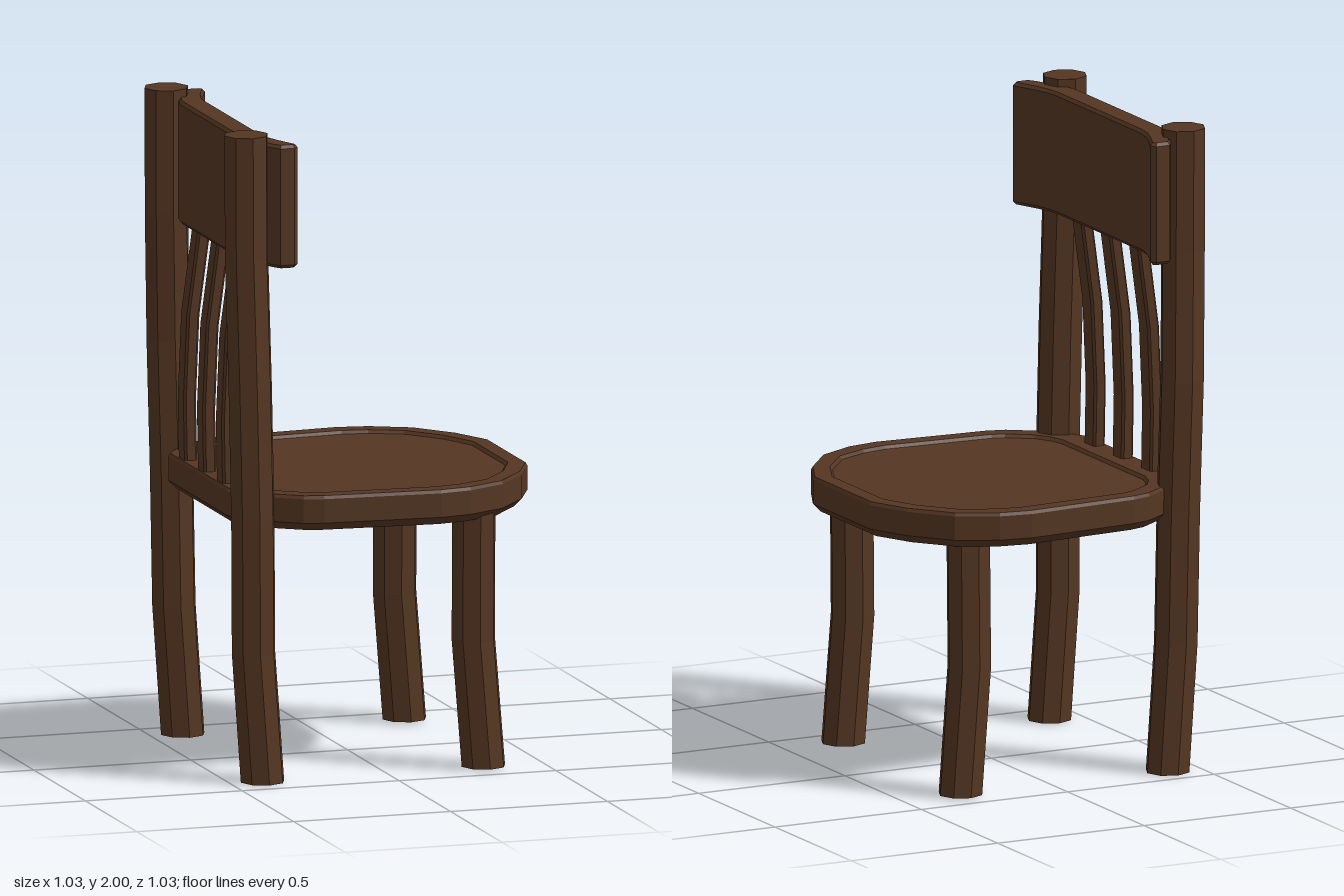
import * as THREE from 'three';

const wood = new THREE.MeshStandardMaterial({ color: 0x543622 });
wood.name = 'darkWood';

// Complete a half outline (z > 0, front to back) with its mirror image
const mirrored = (half) => [...half, ...half.map(([x, z]) => [x, -z]).reverse()];

// Move every corner of a closed outline inward by d
function inset(pts, d) {
  const n = pts.length;
  const normal = (a, b) => new THREE.Vector2(b[1] - a[1], a[0] - b[0]).normalize();
  return pts.map((p, i) => {
    const n1 = normal(pts[(i + n - 1) % n], p), n2 = normal(p, pts[(i + 1) % n]);
    const m = n1.clone().add(n2).normalize();
    const k = d / Math.max(0.5, m.dot(n1));
    return [p[0] - m.x * k, p[1] - m.y * k];
  });
}

// Solid from horizontal rings [outline, y], listed bottom to top
function loft(name, rings) {
  const pos = [];
  const put = ([pts, y], i) => pos.push(pts[i % pts.length][0], y, pts[i % pts.length][1]);
  const n = rings[0][0].length;
  for (let k = 0; k < rings.length - 1; k++) {
    const lo = rings[k], hi = rings[k + 1];
    for (let i = 0; i < n; i++) {
      put(lo, i); put(hi, i); put(lo, i + 1);
      put(lo, i + 1); put(hi, i); put(hi, i + 1);
    }
  }
  const cap = (ring, up) => {
    const contour = ring[0].map(([x, z]) => new THREE.Vector2(x, z));
    for (const [a, b, c] of THREE.ShapeUtils.triangulateShape(contour, [])) {
      put(ring, a); put(ring, up ? c : b); put(ring, up ? b : c);
    }
  };
  cap(rings[0], false);
  cap(rings[rings.length - 1], true);
  const geo = new THREE.BufferGeometry();
  geo.setAttribute('position', new THREE.Float32BufferAttribute(pos, 3));
  geo.computeVertexNormals();
  const mesh = new THREE.Mesh(geo, wood);
  mesh.name = name;
  return mesh;
}

// Sweep one section up a path of [x, y, z] points
const sweep = (name, section, path) =>
  loft(name, path.map(([px, y, pz]) => [section.map(([x, z]) => [x + px, z + pz]), y]));

const octagon = Array.from({ length: 8 }, (_, i) => {
  const a = (i / 8) * Math.PI * 2;
  return [Math.cos(a) * 0.069, Math.sin(a) * 0.069];
});

export function createModel() {
  const chair = new THREE.Group();
  chair.name = 'chair';

  // Seat with bevelled rim and shallow sunken top
  const outer = mirrored([[0.512, 0.187], [0.452, 0.315], [0.352, 0.437], [0.23, 0.498], [0.13, 0.515],
    [-0.235, 0.49], [-0.295, 0.473], [-0.37, 0.42], [-0.45, 0.33], [-0.478, 0.285]]);
  const inner = mirrored([[0.457, 0.166], [0.403, 0.285], [0.312, 0.395], [0.21, 0.44], [0.13, 0.455],
    [-0.225, 0.433], [-0.265, 0.42], [-0.34, 0.367], [-0.37, 0.32], [-0.385, 0.27]]);
  chair.add(loft('seat', [
    [inset(outer, 0.024), 0.783], [outer, 0.808], [outer, 0.882], [inset(outer, 0.006), 0.892],
    [inner, 0.892], [inset(inner, 0.008), 0.882],
  ]));

  // Back posts running down into the rear legs
  for (const [name, pathZ] of [
    ['leftPost', [0.38, 0.378, 0.39, 0.386, 0.378, 0.376]],
    ['rightPost', [-0.395, -0.395, -0.4, -0.411, -0.4, -0.4]],
  ]) {
    const xs = [-0.396, -0.424, -0.43, -0.437, -0.446, -0.447];
    const ys = [0, 0.4, 0.82, 1.22, 1.62, 2];
    chair.add(sweep(name, octagon, ys.map((y, i) => [xs[i], y, pathZ[i]])));
  }

  // Front legs
  for (const [name, z0, z1, z2] of [
    ['leftFrontLeg', 0.38, 0.38, 0.39], ['rightFrontLeg', -0.388, -0.385, -0.374],
  ]) {
    chair.add(sweep(name, octagon, [[0.308, 0.005, z0], [0.276, 0.4, z1], [0.274, 0.8, z2]]));
  }

  // Curved top rail with bevelled edges
  const rail = mirrored([[-0.36, 0.28], [-0.353, 0.325], [-0.338, 0.372], [-0.306, 0.45], [-0.32, 0.465],
    [-0.365, 0.465], [-0.385, 0.435], [-0.41, 0.375], [-0.43, 0.33], [-0.44, 0.28]])
    .map(([x, z]) => [x, z - 0.004]);
  chair.add(loft('topRail', [
    [inset(rail, 0.008), 1.596], [rail, 1.606], [rail, 1.966], [inset(rail, 0.008), 1.976],
  ]));

  // Bowed back slats with chamfered corners
  const slat = [[0.02, -0.027], [0.02, 0.027], [0.013, 0.034], [-0.013, 0.034],
    [-0.02, 0.027], [-0.02, -0.027], [-0.013, -0.034], [0.013, -0.034]];
  for (const z of [-0.19, -0.004, 0.18]) {
    chair.add(sweep('backSlat', slat, [
      [-0.446, 0.86, z], [-0.45, 1.08, z], [-0.439, 1.34, z], [-0.4, 1.63, z],
    ]));
  }
  return chair;
}
